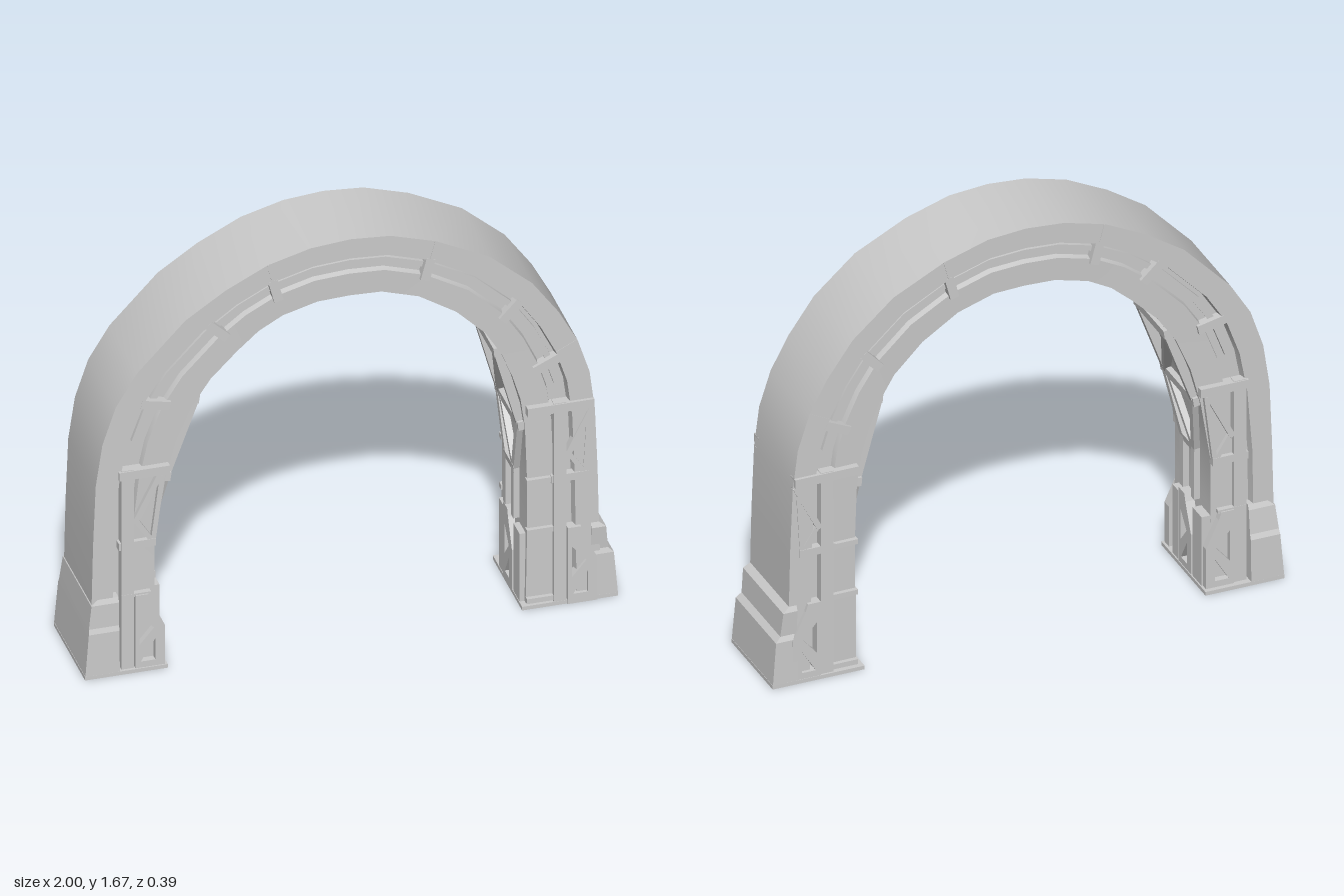
import * as THREE from 'three';
import { toCreasedNormals } from 'three/addons/utils/BufferGeometryUtils.js';

const material = new THREE.MeshStandardMaterial({ color: 0xcccccc });

function add(parent, name, geometry) {
  const mesh = new THREE.Mesh(geometry, material);
  mesh.name = name;
  parent.add(mesh);
  return mesh;
}

// Skin a list of closed rings (arrays of [x, y, z]); four-sided rings can be capped.
function loft(rings, capped, crease = 0.55) {
  const n = rings[0].length, index = [];
  for (let i = 0; i < rings.length - 1; i++) {
    for (let j = 0; j < n; j++) {
      const k = (j + 1) % n, a = i * n + j, b = i * n + k, c = b + n, d = a + n;
      index.push(a, d, c, a, c, b);
    }
  }
  if (capped) {
    const e = (rings.length - 1) * n;
    index.push(0, 1, 2, 0, 2, 3, e, e + 2, e + 1, e, e + 3, e + 2);
  }
  const g = new THREE.BufferGeometry();
  g.setAttribute('position', new THREE.Float32BufferAttribute(rings.flat(2), 3));
  g.setIndex(index);
  return toCreasedNormals(g, crease);
}

// Tapered block from levels of [y, x0, x1, zBack, zFront].
function block(levels) {
  return loft(levels.map(([y, x0, x1, z0, z1]) =>
    [[x0, y, z0], [x1, y, z0], [x1, y, z1], [x0, y, z1]]), true, 0.1);
}

// Straight bar between two points; its depth lies along the normal.
function bar(parent, name, p, q, width, depth, normal) {
  const a = new THREE.Vector3(...p), b = new THREE.Vector3(...q);
  const dir = b.clone().sub(a), length = dir.length();
  dir.normalize();
  const side = dir.clone().cross(new THREE.Vector3(...normal)).normalize();
  const out = side.clone().cross(dir);
  const mesh = add(parent, name, new THREE.BoxGeometry(width, length, depth));
  mesh.quaternion.setFromRotationMatrix(new THREE.Matrix4().makeBasis(side, dir, out));
  mesh.position.copy(a.add(b).multiplyScalar(0.5));
}

// Foot plate with two triangular openings.
function bracketGeometry(depth) {
  const points = list => list.map(p => new THREE.Vector2(...p));
  const shape = new THREE.Shape(points([[0, 0], [0.11, 0], [0.11, 0.18], [0.06, 0.29], [0.05, 0.32], [0, 0.32]]));
  shape.holes.push(new THREE.Path(points([[0.015, 0.11], [0.015, 0.24], [0.07, 0.175]])));
  shape.holes.push(new THREE.Path(points([[0.02, 0.04], [0.075, 0.13], [0.075, 0.04]])));
  return new THREE.ExtrudeGeometry(shape, { depth, bevelEnabled: false }).translate(0, 0, -depth / 2);
}

// Stations along the arch: outer x, y, inner x, y.
const stations = [
  [-0.97, 0, -0.72, 0], [-0.97, 0.32, -0.73, 0.32], [-0.965, 0.55, -0.73, 0.53],
  [-0.955, 0.8, -0.69, 0.78], [-0.93, 0.97, -0.65, 0.93], [-0.88, 1.12, -0.595, 1.06],
  [-0.8, 1.25, -0.52, 1.17], [-0.62, 1.44, -0.42, 1.27], [-0.47, 1.54, -0.34, 1.34],
  [-0.31, 1.62, -0.25, 1.39], [-0.15, 1.663, -0.12, 1.425], [0, 1.675, 0, 1.43],
  [0.15, 1.663, 0.12, 1.425], [0.32, 1.61, 0.26, 1.38], [0.52, 1.51, 0.4, 1.29],
  [0.68, 1.37, 0.51, 1.18], [0.78, 1.23, 0.57, 1.08], [0.85, 1.1, 0.61, 0.98],
  [0.895, 0.96, 0.64, 0.88], [0.915, 0.8, 0.657, 0.76], [0.925, 0.55, 0.665, 0.53],
  [0.93, 0.32, 0.665, 0.32], [0.94, 0, 0.66, 0],
];
// A point at fractional station s, fraction t from the outer to the inner edge.
function at(s, t, z) {
  const i = Math.min(Math.floor(s), stations.length - 2), f = s - i;
  const m = stations[i].map((v, k) => v + (stations[i + 1][k] - v) * f);
  return [m[0] + (m[2] - m[0]) * t, m[1] + (m[3] - m[1]) * t, z];
}

export function createModel() {
  const model = new THREE.Group();
  model.name = 'archway';

  // Arch body with a channel down both faces
  const half = [[0, 0.18], [0.33, 0.18], [0.35, 0.145], [0.6, 0.145], [0.62, 0.168], [1, 0.166]];
  const section = [half[0], ...half.map(([t, z]) => [t, 0.015 - z]), ...half.slice(1).reverse()];
  add(model, 'archBody', loft(stations.map((_, i) => section.map(([t, z]) => at(i, t, z)))));

  // Raised rail inside each channel
  for (const z of [0.15, -0.135]) {
    const rail = [[0.41, z + 0.01], [0.41, z - 0.01], [0.5, z - 0.01], [0.5, z + 0.01]];
    add(model, 'channelRail', loft(stations.slice(4, 19).map((_, i) => rail.map(([t, w]) => at(i + 4, t, w))), true));
  }

  // Clips bridging the channel, and fine joint strips on the outer band
  for (const z of [0.163, -0.148]) {
    for (const s of [5.1, 7.2, 9, 13, 15.1, 17.2]) {
      bar(model, 'channelClip', at(s, 0.31, z), at(s, 0.69, z), 0.035, 0.036, [0, 0, 1]);
    }
    for (const s of [9, 13, 17]) {
      bar(model, 'jointStrip', at(s, 0.01, z), at(s, 0.33, z), 0.008, 0.038, [0, 0, 1]);
    }
  }

  for (const side of [-1, 1]) {
    const leg = new THREE.Group();
    leg.name = side < 0 ? 'rightLeg' : 'leftLeg';
    model.add(leg);
    const left = side < 0;
    const zf = left ? 0.198 : 0.188, zb = left ? -0.196 : -0.18;

    // Stepped foot wrapping the outer side, and the floor slab
    const foot = [[0, 1.0, zb, zf], [0.185, 0.985, zb + 0.004, zf - 0.004], [0.205, 0.965, zb + 0.012, zf - 0.01],
      [0.3, 0.955, -0.173, 0.187], [0.32, 0.93, -0.165, 0.18]];
    add(leg, 'steppedFoot', block(foot.map(([y, x, b, f]) =>
      left ? [y, -x - (y > 0.2 ? 0.018 : 0), -0.87, b, f] : [y, 0.9, x, b, f])));
    add(leg, 'footSlab', block([0, 0.015].map(y => left ? [y, -1, -0.69, zb, zf] : [y, 0.64, 1, zb, zf])));

    // Column, foot bracket and truss on the front and back faces
    const x0 = left ? -0.81 : 0.81;
    for (const [z, n] of [[0.17, 1], [-0.155, -1]]) {
      const truss = new THREE.Group();
      truss.name = n > 0 ? 'frontTruss' : 'backTruss';
      truss.position.set(x0, 0, z);
      leg.add(truss);
      const strut = (name, a, b, w, d) => bar(truss, name, [...a, 0], [...b, 0], w, d, [0, 0, 1]);
      const bracket = add(truss, 'footBracket', bracketGeometry(0.04));
      bracket.position.z = n * 0.003;
      strut('column', [-0.027, 0], [-0.027, 0.85], 0.048, 0.034);
      strut('collar', [-0.06, 0.53], [0.08, 0.53], 0.03, 0.03);
      strut('capBar', left ? [-0.06, 0.83] : [-0.15, 0.83], [left ? 0.13 : 0.1, 0.83], 0.035, 0.044);
      strut('edgeStrut', [0.068, 0.52], [left ? 0.105 : 0.085, 0.82], 0.018, 0.026);
      strut('diagonalStrut', [0, 0.62], [0.095, 0.81], 0.022, 0.03);
      strut('lowerStrut', [0, 0.64], [0.07, 0.53], 0.018, 0.026);
      // Panel lines across the plain strip beside the column
      if (!left) {
        for (const y of [0.03, 0.32, 0.53]) strut('panelBand', [-0.15, y], [-0.05, y], 0.02, 0.026);
      } else strut('bracketCap', [-0.05, 0.32], [0.06, 0.32], 0.014, 0.036);
    }

    // Foot bracket and corner post on the inner face
    const innerFoot = new THREE.Group();
    innerFoot.name = 'innerFoot';
    innerFoot.position.set(left ? -0.713 : 0.66, 0, left ? 0.05 : -0.05);
    innerFoot.rotation.y = -side * Math.PI / 2;
    leg.add(innerFoot);
    add(innerFoot, 'footBracket', bracketGeometry(0.04));
    for (const [u, w] of [[-0.035, 0.05], [0.16, 0.08]]) {
      bar(innerFoot, 'footPost', [u, 0, 0], [u, 0.3, 0], w, 0.036, [0, 0, 1]);
    }

    // Flared truss climbing the inner face
    const stationsY = left ? [1, 2, 3, 5.2] : [21, 20, 19, 16];
    const on = (level, z) => {
      const p = at(stationsY[level], 1, z + 0.008);
      p[0] -= side * 0.006;
      return p;
    };
    const normal = [-side, left ? -0.15 : -0.1, 0];
    const inner = (name, a, b, w = 0.028) => bar(leg, name, a, b, w, 0.035, normal);
    for (const m of [-1, 1]) {
      inner('innerRail', on(0, m * 0.05), on(1, m * 0.05));
      inner('flaredRail', on(1, m * 0.05), on(2, m * 0.125));
      inner('upperRail', on(2, m * 0.125), on(3, m * 0.125));
    }
    inner('lowerCrossbar', on(1, -0.065), on(1, 0.065), 0.03);
    inner('middleCrossbar', on(2, -0.15), on(2, 0.15), 0.035);
    inner('upperCrossbar', on(3, -0.14), on(3, 0.14), 0.035);
    inner('lowerDiagonal', on(1, side * 0.05), on(2, -side * 0.09), 0.022);
    inner('upperDiagonal', on(2, -side * 0.12), on(3, side * 0.12), 0.024);
  }
  return model;
}
